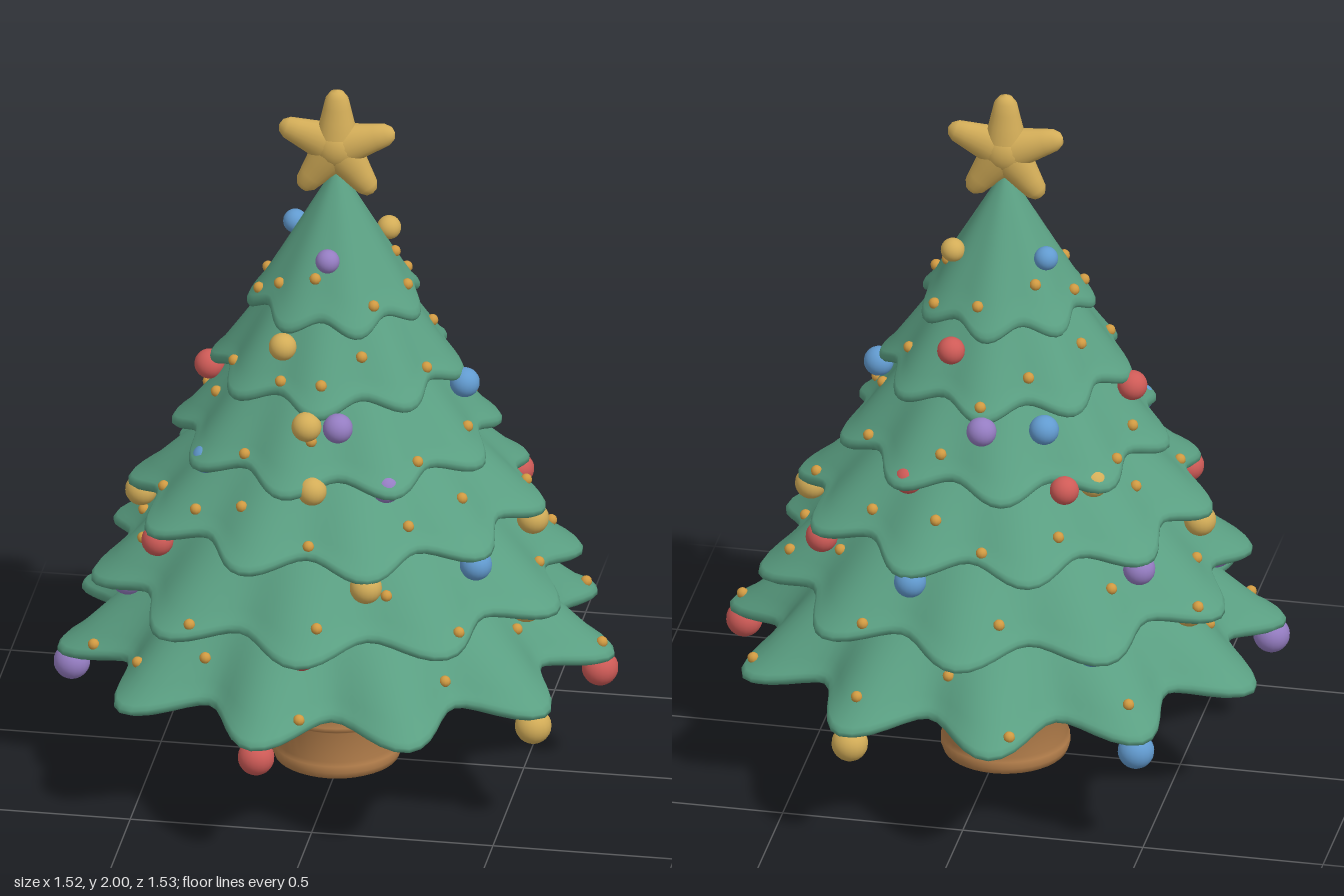
import * as THREE from 'three';

const mat = (name, color, side = THREE.FrontSide) =>
  Object.assign(new THREE.MeshStandardMaterial({ color, side }), { name });

// Each skirt: tip radius, hem height, top radius, top height, lobes, first lobe (degrees), lobe depth
const TIERS = [
  [0.765, 0.385, 11, 0, 0.19],
  [0.675, 0.6, 10, 18, 0.15],
  [0.575, 0.81, 10, 0, 0.14],
  [0.455, 1.0, 9, 20, 0.14],
  [0.35, 1.2, 8, 0, 0.14],
  [0.245, 1.395, 7, 15, 0.14],
].map(([R, y, n, phase, depth], i, all) => {
  const next = all[i + 1];
  return { R, y, n, phase: THREE.MathUtils.degToRad(phase), depth,
    r0: next ? next[0] * 0.62 : 0.006, y0: next ? next[1] + 0.06 : 1.77 };
});

// Point on a skirt's upper surface: t runs from 0 at the top to 1 at the hem
function skirtPoint(tier, angle, t, shrink = 1, dy = 0) {
  const c = Math.cos(tier.n * (angle - tier.phase));
  const r = THREE.MathUtils.lerp(tier.r0, tier.R, t) * (1 - tier.depth * t * (1 - c) / 2) * shrink;
  const y = tier.y + (tier.y0 - tier.y) * Math.pow(1 - t, 1.1) - 0.018 * c * t * t + dy;
  return new THREE.Vector3(Math.cos(angle) * r, y, Math.sin(angle) * r);
}

// Closed skirt: upper surface, rounded lip, then the underside
function skirtGeometry(tier) {
  const rings = [[0], [0.2], [0.4], [0.6], [0.78], [0.9], [0.97, 1, 0.006], [1, 1, 0],
    [1, 1, -0.012], [1, 0.975, -0.02], [1, 0.93, -0.012],
    [1, 0.75, 0.02], [1, 0.45, 0.06], [1, 0.08, 0.08]];
  const steps = tier.n * 12, pos = [], index = [];
  for (const [t, shrink, dy] of rings)
    for (let j = 0; j < steps; j++)
      pos.push(...skirtPoint(tier, j / steps * Math.PI * 2, t, shrink, dy).toArray());
  for (let i = 0; i < rings.length - 1; i++)
    for (let j = 0; j < steps; j++) {
      const k = (j + 1) % steps, a = i * steps + j, b = i * steps + k;
      index.push(a, b, a + steps, b, b + steps, a + steps);
    }
  const g = new THREE.BufferGeometry();
  g.setAttribute('position', new THREE.Float32BufferAttribute(pos, 3));
  g.setIndex(index);
  g.computeVertexNormals();
  return g;
}

export function createModel() {
  const model = new THREE.Group();
  model.name = 'decoratedTree';
  const green = mat('needle green', 0x5a9f82, THREE.DoubleSide);
  const gold = mat('gold', 0xd3ad58);
  const amber = mat('bead amber', 0xd09a42);
  const red = mat('bauble red', 0xcf5b57);
  const blue = mat('bauble blue', 0x629bd0);
  const purple = mat('bauble purple', 0x957dc2);
  const bark = mat('bark brown', 0x8c5d4c);
  const clay = mat('pot brown', 0xb37e4b);

  const add = (name, geometry, material, parent = model) => {
    const m = new THREE.Mesh(geometry, material);
    m.name = name;
    parent.add(m);
    return m;
  };
  const group = (name) => {
    const g = new THREE.Group();
    g.name = name;
    model.add(g);
    return g;
  };

  // Pot with bands and a rim
  const potProfile = [[0, 0], [0.155, 0], [0.17, 0.008], [0.176, 0.025], [0.176, 0.045], [0.168, 0.055],
    [0.175, 0.145], [0.186, 0.152], [0.188, 0.165], [0.18, 0.176], [0.184, 0.215],
    [0.194, 0.222], [0.196, 0.24], [0.188, 0.25], [0.165, 0.25], [0.16, 0.215], [0, 0.215]];
  add('pot', new THREE.LatheGeometry(potProfile.map(p => new THREE.Vector2(...p)), 40), clay);

  // Trunk
  add('trunk', new THREE.CylinderGeometry(0.052, 0.06, 0.4, 20).translate(0, 0.4, 0), bark);

  // Skirts of branches, with small beads scattered over each
  const branches = group('branches'), beads = group('beads');
  const beadGeo = new THREE.SphereGeometry(0.016, 10, 8);
  TIERS.forEach((tier, i) => {
    add('branchTier' + (i + 1), skirtGeometry(tier), green, branches);
    const count = [13, 13, 12, 11, 10, 10][i];
    for (let k = 0; k < count; k++) {
      const angle = (k + 0.35 * Math.sin(k * 5 + i)) / count * Math.PI * 2 + i * 0.7;
      const t = i === 5 ? [0.9, 0.7, 0.83][k % 3] : [0.9, 0.58, 0.75][k % 3];
      add('bead', beadGeo, amber, beads).position.copy(skirtPoint(tier, angle, t, 1, 0.004));
    }
  });

  // Baubles in rows: height, distance from the axis, size, then angle and colour pairs
  const baubles = group('baubles');
  const rows = [
    [0.32, 0.725, 0.05, [0, red, 33, gold, 98, red, 164, purple, 229, blue, 294, gold]],
    [0.572, 0.575, 0.047, [17, gold, 50, blue, 90, red, 162, purple, 198, gold, 234, blue, 308, red]],
    [0.755, 0.54, 0.044, [0, gold, 36, blue, 72, gold, 145, red, 180, gold, 216, purple, 287, blue, 326, red]],
    [0.982, 0.405, 0.04, [61, purple, 90, gold, 142, blue, 222, gold, 235, red, 299, red]],
    [1.148, 0.352, 0.041, [0, blue, 80, purple, 94, gold, 180, red, 241, blue, 269, purple]],
    [1.332, 0.267, 0.038, [114, gold, 292, red]],
    [1.556, 0.155, 0.033, [90, purple, 213, blue, 326, gold]],
  ];
  for (const [y, r, size, list] of rows) {
    const geo = new THREE.SphereGeometry(size, 20, 14);
    for (let k = 0; k < list.length; k += 2) {
      const a = THREE.MathUtils.degToRad(list[k]);
      add('bauble', geo, list[k + 1], baubles).position.set(Math.cos(a) * r, y, Math.sin(a) * r);
    }
  }

  // Puffy five-armed star
  const star = group('topStar');
  const armProfile = [[0.062, 0], [0.056, 0.04], [0.046, 0.08], [0.038, 0.115], [0.031, 0.145],
    [0.018, 0.162], [0, 0.168]].map(p => new THREE.Vector2(...p));
  const armGeo = new THREE.LatheGeometry(armProfile, 20);
  for (let k = 0; k < 5; k++)
    add('starArm', armGeo, gold, star).rotation.z = k * Math.PI * 2 / 5;
  add('starCentre', new THREE.SphereGeometry(0.066, 20, 14), gold, star);
  star.position.y = 1.832;
  star.scale.z = 0.82;

  // The tree's axis sits slightly to one side
  model.children.forEach(c => { c.position.x -= 0.015; });
  return model;
}
